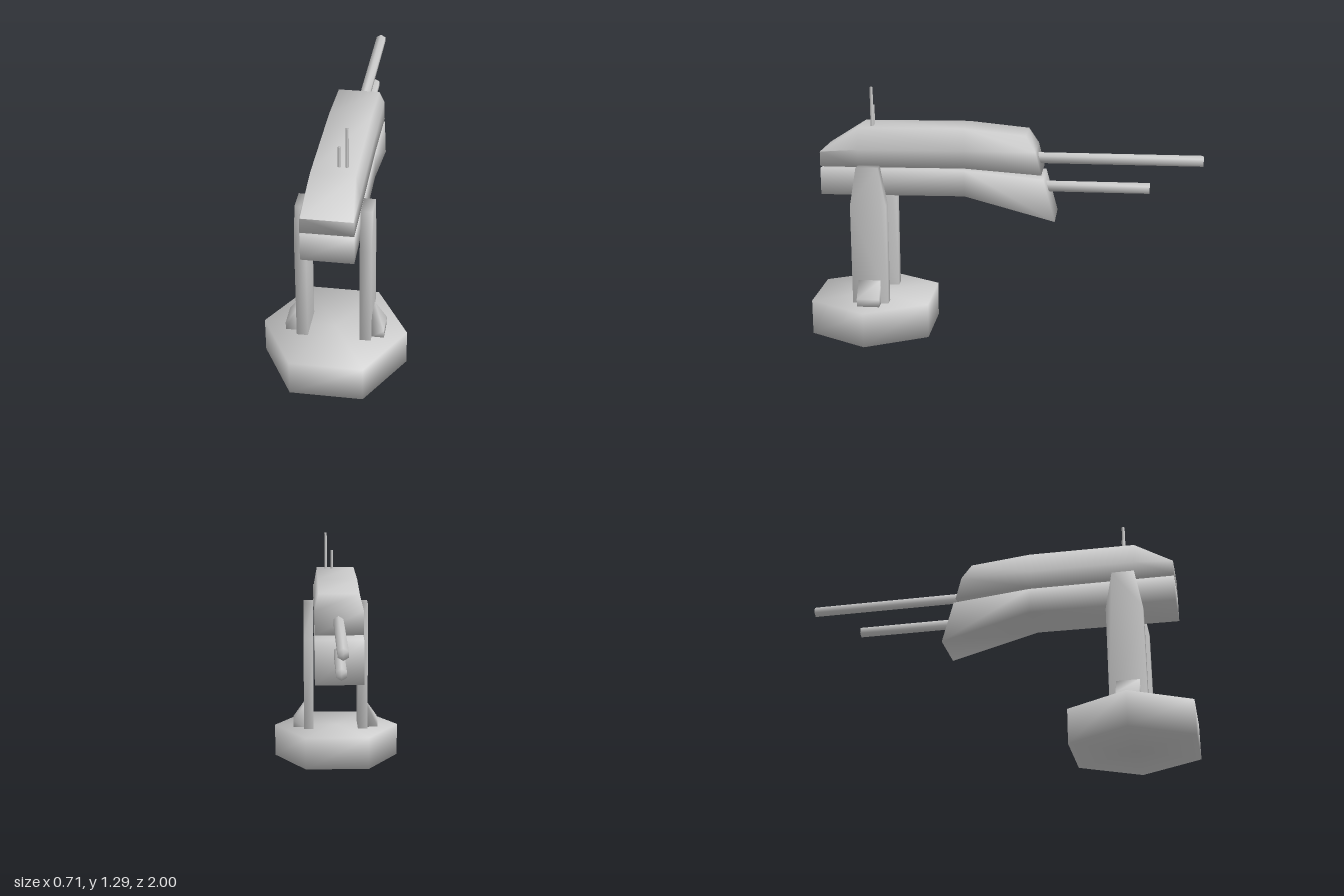
import * as THREE from 'three';
import { mergeVertices } from 'three/addons/utils/BufferGeometryUtils.js';

const CX = 0.004; // centre line of gun and supports

// Weld corners so that shading runs smoothly over the edges
function weld(geo) {
  geo.deleteAttribute('normal');
  geo.deleteAttribute('uv');
  const g = mergeVertices(geo, 1e-4);
  g.computeVertexNormals();
  return g;
}

// Side profile of [z, y] points given thickness along x, centred on x = 0
function sidePrism(points, width) {
  const shape = new THREE.Shape(points.map(p => new THREE.Vector2(p[0], p[1])));
  const geo = new THREE.ExtrudeGeometry(shape, { depth: width, bevelEnabled: false });
  geo.translate(0, 0, -width / 2);
  geo.rotateY(-Math.PI / 2);
  return geo;
}

// Six-point sections (bottom, shoulder, top on each side) joined from front to rear
function loftHull(stations, half) {
  const pos = [], idx = [];
  for (const [zb, yb, zs, ys, zt, yt, ht] of stations) {
    pos.push(half, yb, zb, half, ys, zs, ht, yt, zt, -ht, yt, zt, -half, ys, zs, -half, yb, zb);
  }
  for (let s = 0; s < stations.length - 1; s++) {
    for (let i = 0; i < 6; i++) {
      const a = s * 6 + i, b = s * 6 + (i + 1) % 6;
      idx.push(a, a + 6, b, b, a + 6, b + 6);
    }
  }
  const r = (stations.length - 1) * 6;
  for (const [a, b, c] of [[0, 1, 4], [0, 4, 5], [1, 2, 3], [1, 3, 4]]) {
    idx.push(a, b, c, r + a, r + c, r + b);
  }
  const geo = new THREE.BufferGeometry();
  geo.setAttribute('position', new THREE.Float32BufferAttribute(pos, 3));
  geo.setIndex(idx);
  return geo;
}

export function createModel() {
  const model = new THREE.Group();
  const material = new THREE.MeshStandardMaterial({ color: 0xcccccc });
  const add = (name, geo, x = 0, y = 0, z = 0) => {
    const mesh = new THREE.Mesh(weld(geo), material);
    mesh.name = name;
    mesh.position.set(x, y, z);
    model.add(mesh);
  };

  // Hexagonal foot
  add('base', new THREE.CylinderGeometry(0.353, 0.353, 0.18, 6).rotateY(Math.PI / 2), 0, 0.09, 0.694);

  // Two tapered supports with small wedge braces outside
  const post = [[0.595, 0.18], [0.78, 0.18], [0.78, 0.7], [0.745, 0.9], [0.632, 0.9], [0.595, 0.7]];
  for (const [side, s] of [['left', 1], ['right', -1]]) {
    add(side + 'Support', sidePrism(post, 0.055), CX + s * 0.154, 0, 0);
    const wedge = new THREE.Shape([[0, 0.18], [s * 0.06, 0.18], [s * 0.06, 0.22], [0, 0.305]]
      .map(p => new THREE.Vector2(p[0], p[1])));
    add(side + 'Brace', new THREE.ExtrudeGeometry(wedge, { depth: 0.115, bevelEnabled: false }),
      CX + s * 0.1815, 0, 0.632);
  }

  // Upper gun housing with sloping shoulders
  add('upperHousing', loftHull([
    [0.94, 0.89, 0.94, 0.965, 0.94, 0.966, 0.12],
    [0.745, 0.89, 0.745, 0.98, 0.745, 1.09, 0.104],
    [0.2, 0.895, 0.2, 0.985, 0.2, 1.095, 0.104],
    [-0.19, 0.868, -0.16, 0.985, -0.11, 1.065, 0.104],
  ], 0.124), CX);

  // Lower gun housing with a drooping rear
  add('lowerHousing', sidePrism([
    [0.94, 0.88], [0.94, 0.743], [0.2, 0.75], [-0.26, 0.628], [-0.2, 0.845], [0.2, 0.883],
  ], 0.248), CX);

  // Six-sided barrels
  for (const [name, y, start, end] of [['upperBarrel', 0.933, -0.12, -1], ['lowerBarrel', 0.785, -0.15, -0.735]]) {
    add(name, new THREE.CylinderGeometry(0.0285, 0.0285, start - end, 6).rotateX(Math.PI / 2),
      CX + 0.004, y, (start + end) / 2);
  }

  // Pair of antennas on the roof
  for (const [name, x, top] of [['shortAntenna', 0.023, 1.193], ['tallAntenna', 0.059, 1.291]]) {
    add(name, new THREE.CylinderGeometry(0.008, 0.008, top - 1.07, 6), x, (top + 1.07) / 2, 0.68);
  }
  return model;
}
